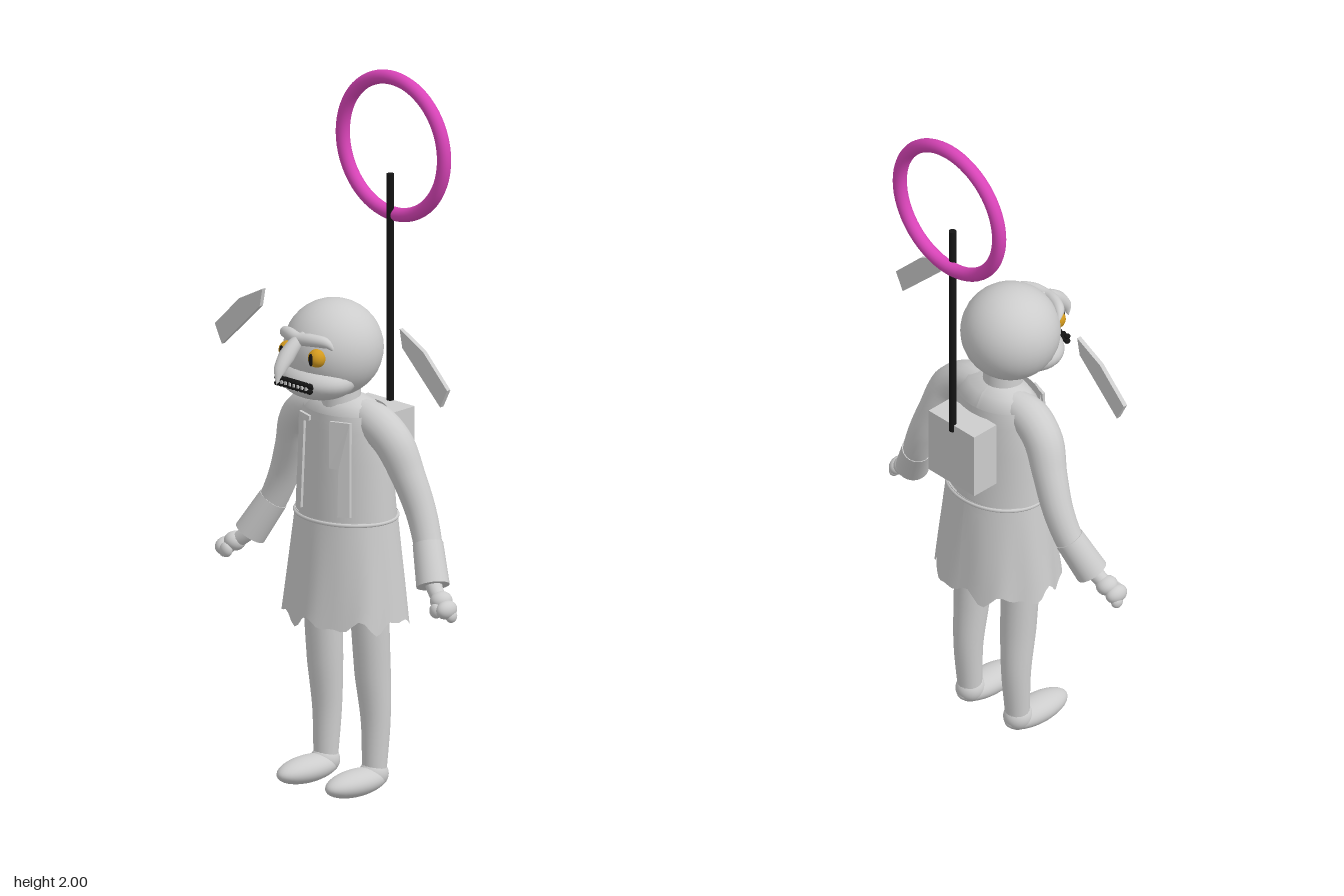
import * as THREE from 'three';

const mat = (name, color, side = THREE.FrontSide) => {
  const m = new THREE.MeshStandardMaterial({ color, side });
  m.name = name;
  return m;
};
const grey = mat('plain grey', 0xcccccc, THREE.DoubleSide);
const magenta = mat('magenta', 0xd944b8);
const black = mat('black', 0x141414);
const gold = mat('gold', 0xd39a1e);

// Tube through points, with a radius that changes along its length
function taper(points, radii, sides = 18, steps = 32) {
  const curve = new THREE.CatmullRomCurve3(points.map(p => new THREE.Vector3(...p)));
  const geo = new THREE.TubeGeometry(curve, steps, 1, sides);
  const pos = geo.attributes.position, v = new THREE.Vector3();
  for (let i = 0; i < pos.count; i++) {
    const t = Math.floor(i / (sides + 1)) / steps;
    const k = Math.min(t * (radii.length - 1), radii.length - 1.0001), j = Math.floor(k);
    const r = THREE.MathUtils.lerp(radii[j], radii[j + 1], k - j);
    const c = curve.getPointAt(t);
    v.fromBufferAttribute(pos, i).sub(c).multiplyScalar(r).add(c);
    pos.setXYZ(i, v.x, v.y, v.z);
  }
  return geo;
}

// Stack of elliptical sections, top to bottom: [y, halfWidth, halfDepth, centreZ]
function shell(sections, open, ripple = () => [1, 0]) {
  const n = sections.length - 1;
  const geo = new THREE.CylinderGeometry(1, 1, 1, 64, n, open).rotateY(Math.PI);
  const pos = geo.attributes.position;
  for (let i = 0; i < pos.count; i++) {
    const row = Math.round((0.5 - pos.getY(i)) * n), [y, rx, rz, zc] = sections[row];
    const x = pos.getX(i), z = pos.getZ(i);
    const [swell, drop] = ripple(Math.atan2(x, z), row / n);
    pos.setXYZ(i, x * rx * swell, y + drop, zc + z * rz * swell);
  }
  geo.computeVertexNormals();
  return geo;
}

export function createModel() {
  const root = new THREE.Group();
  root.name = 'figure';
  const add = (name, geo, material = grey, p = [0, 0, 0]) => {
    const mesh = new THREE.Mesh(geo, material);
    mesh.name = name;
    mesh.position.set(...p);
    root.add(mesh);
    return mesh;
  };
  const ball = (name, p, r, material = grey) => {
    const mesh = add(name, new THREE.SphereGeometry(1, 32, 20), material, p);
    mesh.scale.set(...r);
    return mesh;
  };

  // Head and face
  ball('head', [0, 1.264, 0.01], [0.138, 0.136, 0.138]);
  ball('muzzle', [0, 1.188, 0.07], [0.114, 0.056, 0.095]);
  add('nose', taper(
    [[0, 1.325, 0.125], [0, 1.305, 0.16], [0, 1.275, 0.195], [0, 1.24, 0.222], [0, 1.205, 0.232]],
    [0.01, 0.02, 0.023, 0.017, 0.001]));
  add('brow', taper(
    [[-0.092, 1.288, 0.1], [-0.08, 1.313, 0.118], [-0.04, 1.319, 0.138], [0, 1.316, 0.146],
      [0.04, 1.319, 0.138], [0.08, 1.313, 0.118], [0.092, 1.288, 0.1]],
    [0.001, 0.016, 0.018, 0.017, 0.018, 0.016, 0.001]));

  // Mouth: two rows of dark beads with pale teeth between them
  const mouth = ball('mouth', [0, 1.19, 0.158], [0.068, 0.014, 0.014], black);
  mouth.renderOrder = 0;
  for (let i = 0; i < 9; i++) {
    const x = (i - 4) * 0.0155;
    for (const dy of [-0.008, 0.008]) ball('mouthBead', [x, 1.19 + dy, 0.166], [0.0085, 0.0075, 0.009], black);
    if (i < 8) add('tooth', new THREE.BoxGeometry(0.007, 0.009, 0.008), grey, [x + 0.0077, 1.19, 0.171]);
  }

  // Neck, torso, open waistcoat and skirt
  add('neck', new THREE.CylinderGeometry(0.05, 0.06, 0.12, 24), grey, [0, 1.12, -0.02]);
  add('torso', shell([[1.125, 0.04, 0.035, -0.035], [1.108, 0.1, 0.065, -0.035], [1.075, 0.13, 0.085, -0.035],
    [1.0, 0.138, 0.095, -0.037], [0.77, 0.145, 0.108, -0.038]], false));
  add('waistcoat', shell([[1.085, 0.128, 0.1, -0.037], [1.04, 0.142, 0.104, -0.037], [0.95, 0.148, 0.108, -0.038],
    [0.87, 0.152, 0.113, -0.038], [0.787, 0.156, 0.118, -0.04]], true));
  const lapel = (name, pts) => {
    const shape = new THREE.Shape(pts.map(p => new THREE.Vector2(...p)));
    const geo = new THREE.ExtrudeGeometry(shape, { depth: 0.009, bevelEnabled: false });
    const pos = geo.attributes.position;
    for (let i = 0; i < pos.count; i++) {
      const x = pos.getX(i) / 0.152, front = -0.037 + 0.115 * Math.sqrt(1 - x * x);
      const rise = (pos.getY(i) - 0.8) / 0.27;
      pos.setZ(i, pos.getZ(i) + front - 0.009 * rise);
    }
    geo.computeVertexNormals();
    add(name, geo);
  };
  lapel('rightLapel', [[-0.088, 0.805], [-0.06, 0.805], [-0.054, 1.055], [-0.03, 1.06], [-0.03, 1.073], [-0.085, 1.073]]);
  lapel('leftLapel', [[0.075, 0.805], [0.105, 0.805], [0.1, 1.073], [0.045, 1.073], [0.048, 0.94], [0.075, 0.94]]);

  const skirtRows = [];
  for (let i = 0; i <= 8; i++) {
    const t = i / 8;
    skirtRows.push([0.79 - 0.295 * t, 0.152 + 0.035 * t, 0.127 + 0.03 * t, -0.04]);
  }
  add('skirt', shell(skirtRows, true, (a, t) => [
    1 + 0.022 * t * Math.sin(7 * a + 0.6) + 0.008 * t * Math.sin(13 * a),
    t ** 4 * (0.013 * Math.sin(8 * a + 1) + 0.01 * Math.sin(13 * a + 2))]));
  const band = add('waistband', new THREE.TorusGeometry(1, 0.045, 8, 64).rotateX(Math.PI / 2), grey, [0, 0.782, -0.04]);
  band.scale.set(0.152, 0.13, 0.126);

  // Limbs and floating side fins, mirrored
  for (const s of [1, -1]) {
    const side = s > 0 ? 'left' : 'right';
    const m = pts => pts.map(([x, y, z]) => [s * x, y, z]);

    add(side + 'Arm', taper(
      m([[0.04, 1.075, -0.04], [0.12, 1.06, -0.036], [0.18, 1.015, -0.042], [0.22, 0.93, -0.056],
        [0.262, 0.83, -0.065], [0.3, 0.74, -0.055], [0.33, 0.68, -0.035]]),
      [0.042, 0.056, 0.054, 0.047, 0.043, 0.04, 0.038]));

    // Flared cuff, laid along the forearm
    const from = new THREE.Vector3(s * 0.296, 0.75, -0.057), to = new THREE.Vector3(s * 0.35, 0.648, -0.022);
    const cuff = add(side + 'Cuff', new THREE.CylinderGeometry(0.042, 0.046, from.distanceTo(to), 24));
    cuff.position.copy(from).lerp(to, 0.5);
    cuff.quaternion.setFromUnitVectors(new THREE.Vector3(0, 1, 0), from.clone().sub(to).normalize());

    // Hand
    add(side + 'Wrist', taper(m([[0.335, 0.67, -0.03], [0.37, 0.635, -0.014], [0.4, 0.612, -0.006]]), [0.025, 0.022, 0.02]));
    ball(side + 'Palm', [s * 0.395, 0.618, -0.008], [0.03, 0.027, 0.032]);
    ball(side + 'Fingers', [s * 0.423, 0.6, 0], [0.024, 0.026, 0.034]);
    ball(side + 'Thumb', [s * 0.402, 0.597, 0.02], [0.02, 0.021, 0.016]);
    ball(side + 'Fingertip', [s * 0.434, 0.582, -0.008], [0.014, 0.018, 0.018]);

    add(side + 'Leg', taper(
      m([[0.075, 0.75, -0.035], [0.086, 0.6, -0.037], [0.09, 0.47, -0.042], [0.091, 0.34, -0.05],
        [0.093, 0.2, -0.06], [0.093, 0.06, -0.055]]),
      [0.06, 0.057, 0.053, 0.05, 0.041, 0.034]));
    const foot = ball(side + 'Foot', [s * 0.093, 0.038, 0.016], [0.05, 0.037, 0.111]);
    foot.position.y = 0.037;
    ball(side + 'Heel', [s * 0.093, 0.048, -0.052], [0.04, 0.04, 0.043]);

    ball(side + 'Eye', [s * 0.056, 1.27, 0.131], [0.025, 0.026, 0.026], gold);
    ball(side + 'Pupil', [s * 0.056, 1.27, 0.156], [0.0075, 0.018, 0.004], black);

    const fin = new THREE.Shape(
      [[0.263, 1.374], [0.273, 1.322], [0.418, 1.183], [0.445, 1.236], [0.352, 1.328]]
        .map(([x, y]) => new THREE.Vector2(s * x, y)));
    add(side + 'Fin', new THREE.ExtrudeGeometry(fin, { depth: 0.013, bevelEnabled: false }), grey, [0, 0, 0.007]);
  }

  // Backpack, pole and hoop
  add('backpack', new THREE.BoxGeometry(0.178, 0.197, 0.085), grey, [0, 0.964, -0.174]);
  add('pole', new THREE.CylinderGeometry(0.0105, 0.0105, 0.67, 12), black, [0, 1.375, -0.212]);
  add('hoop', new THREE.TorusGeometry(0.194, 0.0195, 16, 64), magenta, [0, 1.787, -0.224]);

  return root;
}
